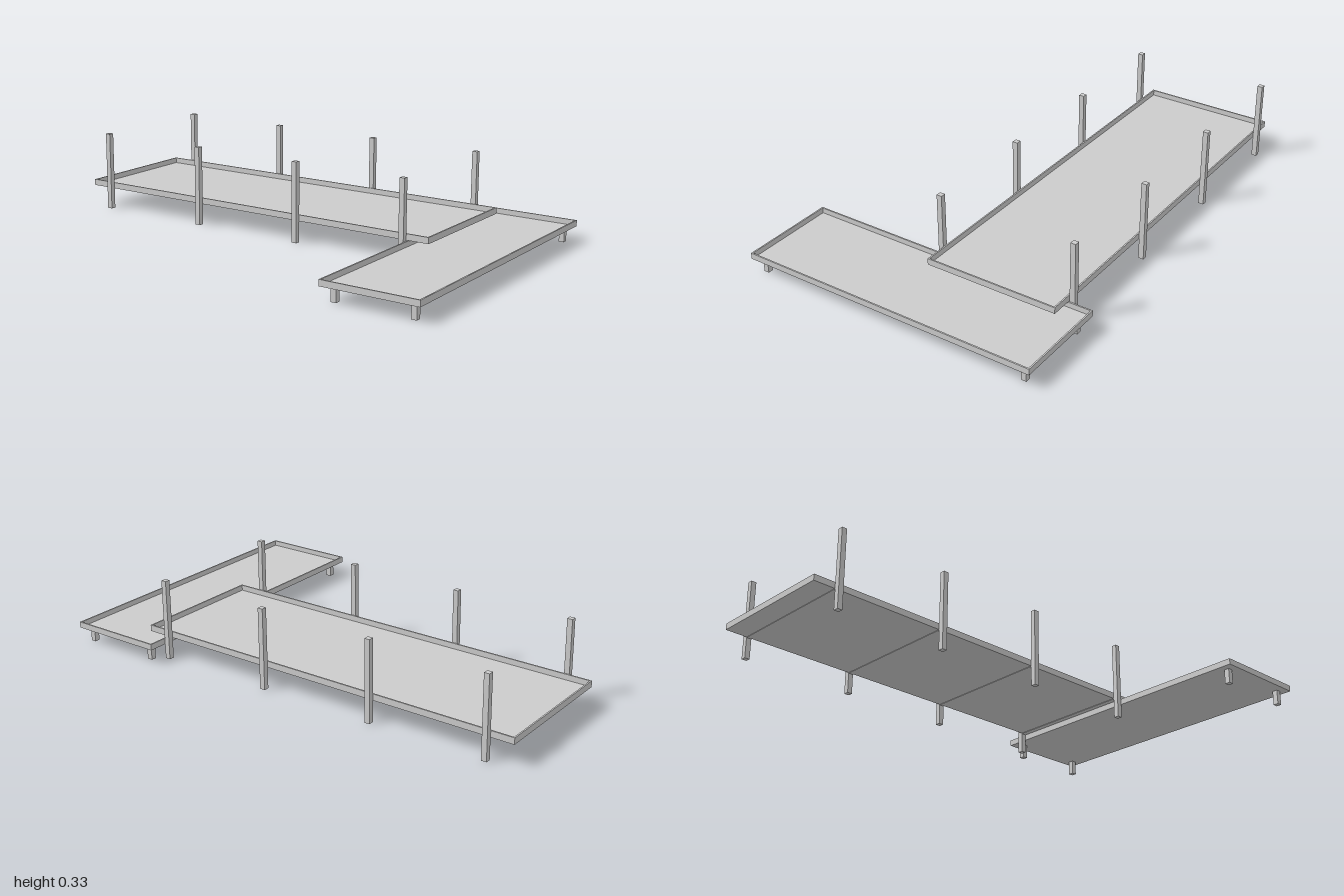
import * as THREE from 'three';

const material = new THREE.MeshStandardMaterial({ color: 0xcccccc, flatShading: true });

// Box given by its minimum and maximum corners
function block(name, [x0, y0, z0], [x1, y1, z1]) {
  const mesh = new THREE.Mesh(new THREE.BoxGeometry(x1 - x0, y1 - y0, z1 - z0), material);
  mesh.name = name;
  mesh.position.set((x0 + x1) / 2, (y0 + y1) / 2, (z0 + z1) / 2);
  return mesh;
}

// Shallow open tray: thin floor with a raised rim on four sides
function tray(name, [x0, y0, z0], [x1, y1, z1]) {
  const rim = 0.006, floor = 0.003;
  const group = new THREE.Group();
  group.name = name;
  group.add(
    block('floor', [x0 + rim, y0, z0 + rim], [x1 - rim, y0 + floor, z1 - rim]),
    block('backRim', [x0, y0, z0], [x1, y1, z0 + rim]),
    block('frontRim', [x0, y0, z1 - rim], [x1, y1, z1]),
    block('rightRim', [x0, y0, z0 + rim], [x0 + rim, y1, z1 - rim]),
    block('leftRim', [x1 - rim, y0, z0 + rim], [x1, y1, z1 - rim])
  );
  return group;
}

export function createModel() {
  const model = new THREE.Group();
  model.name = 'trayPlatform';
  const w = 0.022;
  const back = -0.534, front = 0.03;

  // Long upper tray overlapping the lower cross tray
  model.add(tray('upperTray', [-1, 0.087, back], [0.692, 0.113, front]));
  model.add(tray('lowerTray', [0.597, 0.06, -0.633], [1, 0.085, 0.633]));

  // Tall posts in pairs, joined by a flat cross beam under the upper tray
  for (const x of [-0.895, -0.401, 0.091, 0.584]) {
    const x0 = x - w / 2, x1 = x + w / 2;
    model.add(block('frontPost', [x0, 0, front], [x1, 0.333, front + w]));
    model.add(block('backPost', [x0, 0, back - w], [x1, 0.333, back]));
    model.add(block('crossBeam', [x0, 0.085, back], [x1, 0.089, front]));
  }

  // Short legs of the lower tray
  for (const x of [0.639, 0.96]) {
    for (const z of [-0.591, 0.591]) {
      model.add(block('shortLeg', [x - w / 2, 0, z - w / 2], [x + w / 2, 0.06, z + w / 2]));
    }
  }
  return model;
}
